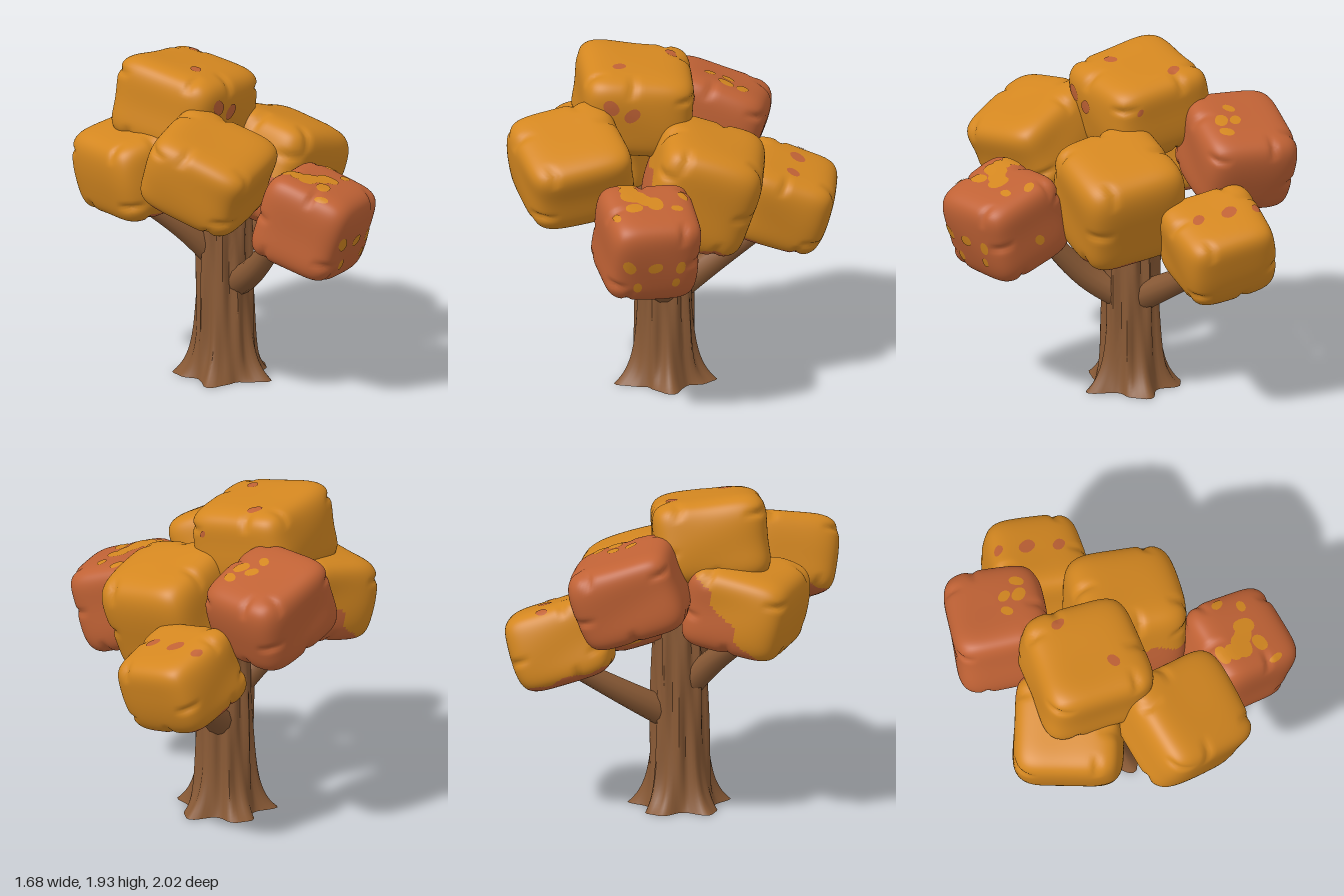
import * as THREE from 'three';
import { mergeVertices, toCreasedNormals } from 'three/addons/utils/BufferGeometryUtils.js';

const orange = new THREE.MeshStandardMaterial({ color: 0xd48720 });
orange.name = 'orange leaves';
const red = new THREE.MeshStandardMaterial({ color: 0xc06235 });
red.name = 'red leaves';
const bark = new THREE.MeshStandardMaterial({ color: 0x885935 });
bark.name = 'bark';

const deg = THREE.MathUtils.degToRad;
const vec = (x, y, z) => new THREE.Vector3(x, y, z);

// Drops seams so that normals run smoothly over the whole surface
function weld(geometry) {
  geometry.deleteAttribute('uv');
  geometry.deleteAttribute('normal');
  const welded = mergeVertices(geometry, 1e-5);
  welded.computeVertexNormals();
  return welded;
}

// Pushes a direction out onto a bulging rounded cube with small chips along its edges
function puff(v, seed) {
  const p = 5;
  const n = (Math.abs(v.x) ** p + Math.abs(v.y) ** p + Math.abs(v.z) ** p) ** (1 / p);
  const u = v.clone().divideScalar(n);
  let r = 1 + 0.02 * Math.sin(2.6 * u.x + seed) * Math.cos(2.3 * u.z - seed) + 0.015 * Math.sin(4 * u.y + 2 * u.x + seed);
  for (let k = 0; k < 3; k++) {
    const a = u.getComponent((k + 1) % 3), b = u.getComponent((k + 2) % 3);
    const edge = Math.max(0, Math.abs(a * b) - 0.55);
    const at = 0.6 * Math.sin(seed * 3 + k * 2 + Math.sign(a) + 2 * Math.sign(b));
    r -= 0.25 * edge * Math.exp(-(((u.getComponent(k) - at) / 0.08) ** 2));
  }
  return u.multiplyScalar(r);
}

// Thin round patch that follows the surface of a clump
function spotGeometry(dir, radius, half, seed) {
  const a = dir.toArray().map(Math.abs);
  const k = a.indexOf(Math.max(...a)), i = (k + 1) % 3, j = (k + 2) % 3;
  const centre = dir.clone().divideScalar(a[k]);
  const sign = Math.sign(centre.getComponent(k));
  const geometry = new THREE.RingGeometry(0.001, 1, 18, 3);
  const pos = geometry.attributes.position;
  for (let n = 0; n < pos.count; n++) {
    const x = pos.getX(n), y = pos.getY(n);
    const wobble = radius * (1 + 0.16 * Math.sin(2 * Math.atan2(y, x) + seed + dir.x * 9));
    const d = centre.clone();
    d.setComponent(i, d.getComponent(i) + x * wobble * sign / half.getComponent(i));
    d.setComponent(j, d.getComponent(j) + y * wobble / half.getComponent(j));
    const q = puff(d, seed).multiplyScalar(1.015).multiply(half);
    pos.setXYZ(n, q.x, q.y, q.z);
  }
  geometry.computeVertexNormals();
  return geometry;
}

// Leaf clump; patch tells which part of the unit shape takes the second colour
function leafClump(name, at, half, turn, seed, main, other, patch = () => false) {
  const group = new THREE.Group();
  group.name = name;
  group.position.copy(at);
  group.rotation.set(deg(turn.x), deg(turn.y), deg(turn.z), 'ZXY');
  group.updateMatrix();
  group.userData = { half, seed, other };

  const geometry = weld(new THREE.BoxGeometry(2, 2, 2, 28, 28, 28));
  const pos = geometry.attributes.position;
  const unit = [];
  for (let n = 0; n < pos.count; n++) {
    const u = puff(vec().fromBufferAttribute(pos, n), seed);
    unit.push(u);
    pos.setXYZ(n, u.x * half.x, u.y * half.y, u.z * half.z);
  }
  geometry.computeVertexNormals();

  // Sort the faces into the two colours
  const lists = [[], []];
  const index = geometry.index.array;
  for (let n = 0; n < index.length; n += 3) {
    const tri = [index[n], index[n + 1], index[n + 2]];
    const middle = vec(0, 0, 0);
    tri.forEach((t) => middle.add(unit[t]));
    lists[patch(middle.divideScalar(3)) ? 1 : 0].push(...tri);
  }
  geometry.setIndex(lists.flat());
  geometry.clearGroups();
  geometry.addGroup(0, lists[0].length, 0);
  geometry.addGroup(lists[0].length, lists[1].length, 1);
  const body = new THREE.Mesh(geometry, [main, other]);
  body.name = name + 'Body';
  group.add(body);
  return group;
}

// Row of spots on a clump, between two points near its surface
function spotRow(clump, from, to, count, radius) {
  const { half, seed, other } = clump.userData;
  const inverse = clump.matrix.clone().invert();
  for (let n = 0; n < count; n++) {
    const dir = from.clone().lerp(to, n / Math.max(1, count - 1)).applyMatrix4(inverse).divide(half);
    const size = radius * (1 + 0.12 * Math.sin(2 * n + seed));
    const spot = new THREE.Mesh(spotGeometry(dir, size, half, seed), other);
    spot.name = clump.name + 'Spot';
    clump.add(spot);
  }
}

// Trunk with ridged bark and flared roots
function trunk() {
  const geometry = weld(new THREE.CylinderGeometry(1, 1, 1, 72, 30));
  const pos = geometry.attributes.position;
  for (let n = 0; n < pos.count; n++) {
    const y = (pos.getY(n) + 0.5) ** 1.5 * 1.15;
    const a = Math.atan2(pos.getZ(n), pos.getX(n));
    const rim = Math.hypot(pos.getX(n), pos.getZ(n));
    const root = 0.5 + 0.5 * Math.cos(5 * (a + Math.PI / 2));
    const ridge = 0.009 * Math.sin(9 * a + 3 * y) + 0.007 * Math.cos(14 * a - 4 * y);
    const r = rim * (0.15 + ridge + Math.exp(-y / 0.1) * (0.025 + 0.1 * root) + 0.022 * Math.exp(-y / 0.6));
    pos.setXYZ(n, 0.015 + r * Math.cos(a), y, -0.06 + r * Math.sin(a));
  }
  const mesh = new THREE.Mesh(toCreasedNormals(geometry, deg(50)), bark);
  mesh.name = 'trunk';
  return mesh;
}

// Tapered branch along a curve
function branch(name, start, bend, end) {
  const curve = new THREE.CatmullRomCurve3([start, bend, end]);
  const steps = 14, sides = 12;
  const geometry = new THREE.TubeGeometry(curve, steps, 0.09, sides);
  const pos = geometry.attributes.position;
  for (let n = 0; n < pos.count; n++) {
    const t = Math.floor(n / (sides + 1)) / steps;
    const c = curve.getPointAt(t);
    const v = vec().fromBufferAttribute(pos, n).sub(c).multiplyScalar(1 - 0.4 * t).add(c);
    pos.setXYZ(n, v.x, v.y, v.z);
  }
  const mesh = new THREE.Mesh(weld(geometry), bark);
  mesh.name = name;
  return mesh;
}

export function createModel() {
  const tree = new THREE.Group();
  tree.name = 'tree';

  tree.add(trunk());
  tree.add(branch('rightBranch', vec(0.02, 0.66, -0.06), vec(-0.22, 0.89, -0.08), vec(-0.5, 1.1, -0.13)));
  tree.add(branch('frontBranch', vec(0.05, 0.52, -0.06), vec(0.09, 0.68, 0.2), vec(0.18, 0.98, 0.46)));
  tree.add(branch('backBranch', vec(0.04, 0.52, -0.08), vec(0.2, 0.67, -0.29), vec(0.42, 0.86, -0.53)));

  // Red undersides of the orange clumps
  const under = (u) => u.y < -0.84 + 0.04 * Math.sin(7 * u.x + 5 * u.z);
  const rightPatch = (u) => (under(u) && u.x > -0.8) || (u.z < -0.7 && u.x > 0.12 + 0.8 * u.y + 0.1 * Math.sin(9 * u.y));
  const leftPatch = (u) => under(u) || (u.x < -0.8 && u.y < 0.1 + 0.1 * Math.sin(6 * u.z));

  // Leaf clumps
  const top = leafClump('topClump', vec(-0.21, 1.64, -0.1), vec(0.33, 0.25, 0.33), vec(3, 35, -10), 1, orange, red);
  const frontRight = leafClump('frontRightClump', vec(-0.29, 1.4, 0.49), vec(0.315, 0.235, 0.315), vec(22, -41, -10), 2.3, orange, red, under);
  const right = leafClump('rightClump', vec(-0.475, 1.28, -0.13), vec(0.31, 0.25, 0.31), vec(0, 13, 10), 3.1, orange, red, rightPatch);
  const left = leafClump('leftClump', vec(0.3, 1.23, 0), vec(0.315, 0.31, 0.315), vec(0, 30, -18), 4.6, orange, red, leftPatch);
  const back = leafClump('backClump', vec(-0.02, 1.41, -0.66), vec(0.31, 0.245, 0.28), vec(-10, 23, -15), 5.2, red, orange);
  const backLeft = leafClump('backLeftClump', vec(0.5, 1.02, -0.58), vec(0.28, 0.235, 0.28), vec(0, 27, -21), 6.4, orange, red, under);
  const frontLeft = leafClump('frontLeftClump', vec(0.3, 1.085, 0.65), vec(0.275, 0.265, 0.275), vec(10, 45, -15), 7.7, red, orange);
  tree.add(top, frontRight, right, left, back, backLeft, frontLeft);

  // Spots
  spotRow(top, vec(-0.07, 1.88, -0.3), vec(-0.21, 1.9, 0.08), 2, 0.036);
  spotRow(top, vec(-0.15, 1.7, 0.25), vec(-0.06, 1.65, 0.18), 2, 0.042);
  spotRow(top, vec(0.17, 1.7, -0.12), vec(0.17, 1.7, -0.12), 1, 0.02);
  spotRow(back, vec(0, 1.66, -0.62), vec(0.2, 1.6, -0.62), 2, 0.036);
  spotRow(back, vec(0.09, 1.63, -0.66), vec(0.11, 1.62, -0.59), 2, 0.04);
  spotRow(backLeft, vec(0.49, 1.25, -0.8), vec(0.62, 1.21, -0.48), 3, 0.042);
  spotRow(frontLeft, vec(0.16, 1.37, 0.62), vec(0.2, 1.35, 0.67), 2, 0.052);
  spotRow(frontLeft, vec(0.25, 1.33, 0.7), vec(0.36, 1.3, 0.68), 3, 0.062);
  spotRow(frontLeft, vec(0.3, 1.3, 0.78), vec(0.25, 1.28, 0.89), 2, 0.042);
  spotRow(frontLeft, vec(0.43, 1.3, 0.53), vec(0.46, 1.28, 0.64), 2, 0.032);
  spotRow(frontLeft, vec(0.35, 1.04, 0.91), vec(0.54, 1.02, 0.74), 3, 0.038);
  spotRow(frontLeft, vec(0.37, 0.9, 0.88), vec(0.52, 0.93, 0.74), 2, 0.027);
  spotRow(frontLeft, vec(0.53, 1.02, 0.39), vec(0.53, 1.02, 0.39), 1, 0.028);
  return tree;
}
